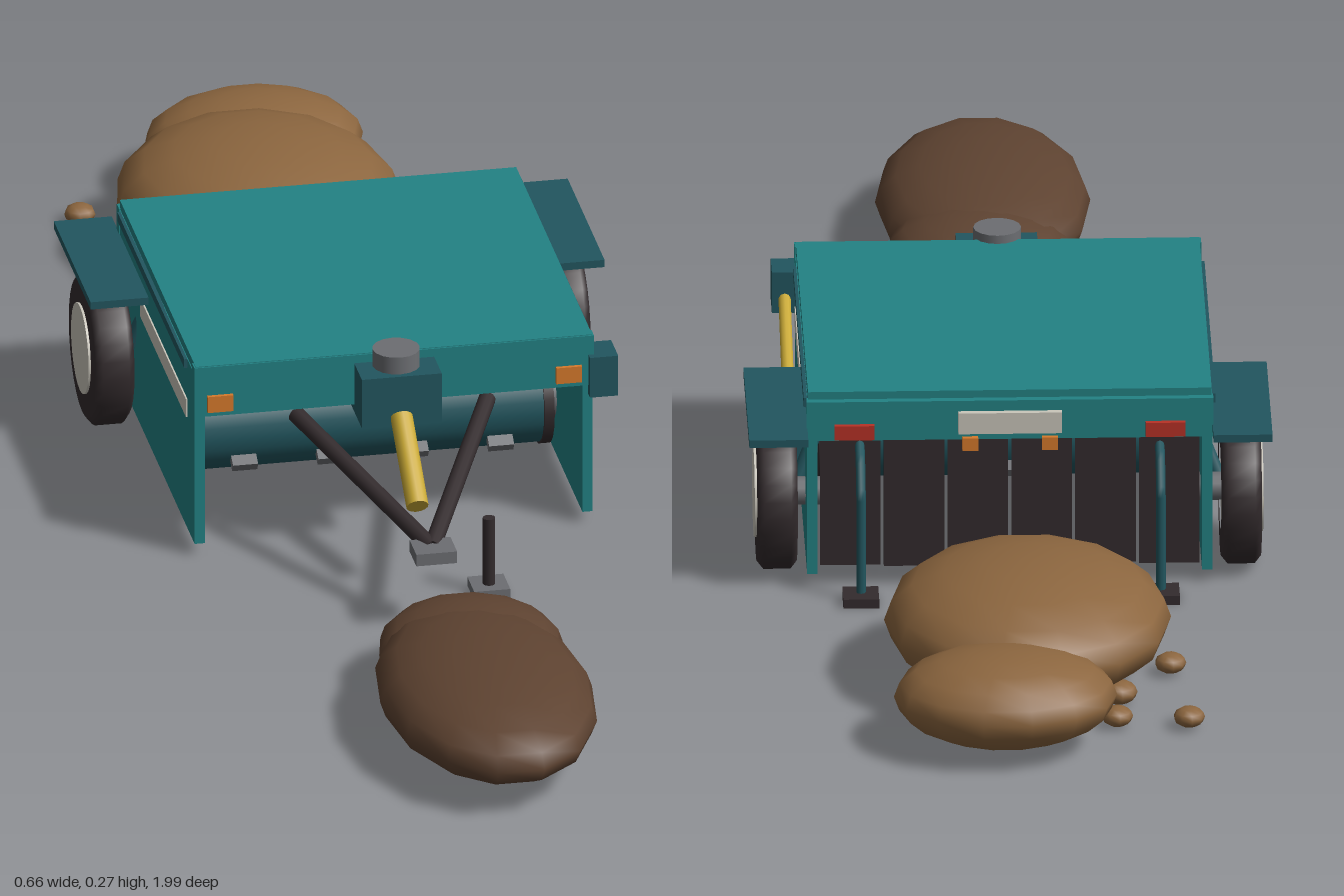
import * as THREE from 'three';

const mat = (name, color) => {
  const m = new THREE.MeshStandardMaterial({ color });
  m.name = name;
  return m;
};

export function createModel() {
  const teal = mat('teal paint', 0x238284);
  const darkTeal = mat('dark teal paint', 0x22565f);
  const black = mat('black rubber', 0x332b2d);
  const grey = mat('grey steel', 0x6c6e72);
  const pale = mat('pale grey', 0xcac6bb);
  const yellow = mat('yellow hydraulics', 0xc9a935);
  const orange = mat('orange lamp', 0xd67a2c);
  const red = mat('red lamp', 0xb83226);
  const darkSoil = mat('dark soil', 0x5e4331);
  const lightSoil = mat('light soil', 0x8c663f);

  const root = new THREE.Group();
  root.name = 'soilTurner';

  const add = (name, geo, material, x = 0, y = 0, z = 0) => {
    const mesh = new THREE.Mesh(geo, material);
    mesh.name = name;
    mesh.position.set(x, y, z);
    root.add(mesh);
    return mesh;
  };
  // Box given by its lower and upper corners
  const box = (name, m, x0, x1, y0, y1, z0, z1) =>
    add(name, new THREE.BoxGeometry(x1 - x0, y1 - y0, z1 - z0), m,
      (x0 + x1) / 2, (y0 + y1) / 2, (z0 + z1) / 2);
  // Box mirrored to both sides when s is -1
  const sideBox = (name, m, s, x0, x1, ...rest) =>
    s > 0 ? box(name, m, x0, x1, ...rest) : box(name, m, -x1, -x0, ...rest);
  // Round bar between two points
  const bar = (name, m, a, b, r, sides = 12) => {
    const p = new THREE.Vector3(...a), q = new THREE.Vector3(...b);
    const d = q.clone().sub(p);
    const mesh = add(name, new THREE.CylinderGeometry(r, r, d.length(), sides), m);
    mesh.position.copy(p).add(q).multiplyScalar(0.5);
    mesh.quaternion.setFromUnitVectors(new THREE.Vector3(0, 1, 0), d.normalize());
    return mesh;
  };
  const blob = (name, m, x, y, z, rx, ry, rz, w = 14, h = 10) =>
    add(name, new THREE.SphereGeometry(1, w, h), m, x, y, z).scale.set(rx, ry, rz);

  // Hood
  box('roof', teal, -0.253, 0.253, 0.246, 0.262, -0.35, 0.15);
  box('frontHeader', teal, -0.255, 0.255, 0.193, 0.261, 0.135, 0.152);
  box('rearHeader', teal, -0.255, 0.255, 0.2, 0.252, -0.36, -0.345);
  for (const s of [1, -1]) {
    sideBox('sidePanel', teal, s, 0.241, 0.254, 0.016, 0.25, -0.35, 0.148);
    sideBox('sideStripe', pale, s, 0.253, 0.256, 0.17, 0.195, -0.2, 0.1);
    sideBox('roofTrim', darkTeal, s, 0.25, 0.258, 0.238, 0.25, -0.34, 0.1);
    sideBox('frontLamp', orange, s, 0.206, 0.239, 0.2, 0.222, 0.15, 0.157);
    sideBox('tailLamp', red, s, 0.17, 0.22, 0.203, 0.222, -0.367, -0.358);
    sideBox('rearMarker', orange, s, 0.04, 0.06, 0.187, 0.204, -0.367, -0.358);
  }
  box('rearPlate', pale, -0.065, 0.065, 0.21, 0.238, -0.368, -0.36);

  // Rubber curtain of separate flaps
  const flaps = 6, flapWidth = 0.48 / flaps;
  for (let i = 0; i < flaps; i++) {
    const x = -0.24 + i * flapWidth;
    box('rearFlap', black, x + 0.002, x + flapWidth - 0.002, 0.027, 0.205,
      -0.353 + (i % 2) * 0.005, -0.346 + (i % 2) * 0.005);
  }

  // Turning drum with end discs and helical paddles
  const drumY = 0.09, drumZ = -0.05;
  bar('drum', darkTeal, [-0.22, drumY, drumZ], [0.22, drumY, drumZ], 0.06, 24);
  for (const s of [1, -1]) {
    bar('drumDisc', black, [s * 0.219, drumY, drumZ], [s * 0.232, drumY, drumZ], 0.063, 20);
    bar('drumBearing', grey, [s * 0.23, drumY, drumZ], [s * 0.242, drumY, drumZ], 0.03, 16);
  }
  for (let i = 0; i < 12; i++) {
    const a = i * 2.1, x = -0.2 + i * 0.4 / 11;
    const p = add('paddle', new THREE.BoxGeometry(0.032, 0.022, 0.012), grey,
      x, drumY + Math.cos(a) * 0.064, drumZ + Math.sin(a) * 0.064);
    p.rotation.x = a;
  }

  // Wheels, fenders and fender struts
  const tyreProfile = [[0.055, -0.025], [0.088, -0.025], [0.098, -0.017],
    [0.098, 0.017], [0.088, 0.025], [0.055, 0.025]].map(p => new THREE.Vector2(...p));
  for (const s of [1, -1]) {
    const tyre = add('tyre', new THREE.LatheGeometry(tyreProfile, 28), black, s * 0.291, 0.098, -0.273);
    tyre.rotation.z = Math.PI / 2;
    bar('wheelHub', pale, [s * 0.268, 0.098, -0.273], [s * 0.319, 0.098, -0.273], 0.058, 24);
    bar('axleStub', grey, [s * 0.22, 0.098, -0.273], [s * 0.27, 0.098, -0.273], 0.018);
    sideBox('fender', darkTeal, s, 0.254, 0.328, 0.207, 0.217, -0.398, -0.155);
    bar('wheelStrut', darkTeal, [s * 0.225, 0.2, -0.23], [s * 0.265, 0.1, -0.25], 0.009, 8);
  }

  // Drawbar, gearbox and tilt cylinder
  for (const s of [1, -1]) bar('drawbar', black, [s * 0.122, 0.178, 0.135], [0, 0.105, 0.4], 0.011, 10);
  box('coupler', grey, -0.026, 0.026, 0.096, 0.112, 0.388, 0.432);
  box('gearbox', darkTeal, -0.051, 0.051, 0.183, 0.25, 0.13, 0.202);
  bar('gearboxCap', grey, [0, 0.25, 0.165], [0, 0.273, 0.165], 0.03, 16);
  bar('tiltCylinder', yellow, [0, 0.194, 0.2], [0, 0.118, 0.305], 0.014, 14);

  // Parking jack
  bar('jackPost', black, [0.087, 0.01, 0.327], [0.087, 0.105, 0.327], 0.008);
  box('jackFoot', grey, 0.064, 0.11, 0.002, 0.014, 0.303, 0.349);

  // Side hydraulics
  box('valveBox', darkTeal, 0.248, 0.284, 0.18, 0.235, 0.115, 0.162);
  box('actuatorBox', darkTeal, 0.254, 0.275, 0.042, 0.143, -0.148, -0.048);
  bar('sideCylinder', yellow, [0.268, 0.2, 0.12], [0.268, 0.12, -0.06], 0.008, 10);

  // Rear support legs
  for (const s of [1, -1]) {
    const path = new THREE.CurvePath();
    const pts = [[0.19, -0.345], [0.175, -0.375], [0.14, -0.4], [0.008, -0.402]]
      .map(([y, z]) => new THREE.Vector3(s * 0.188, y, z));
    for (let i = 0; i < 3; i++) path.add(new THREE.LineCurve3(pts[i], pts[i + 1]));
    add('rearLeg', new THREE.TubeGeometry(path, 18, 0.006, 8), darkTeal);
    sideBox('rearFoot', black, s, 0.166, 0.211, 0, 0.012, -0.427, -0.383);
  }

  // Soil heaps in front and behind
  blob('frontHeap', darkSoil, 0, 0.067, 0.757, 0.135, 0.061, 0.238);
  blob('frontHeapSmall', darkSoil, 0.01, 0.06, 0.605, 0.117, 0.054, 0.12);
  blob('rearHeap', lightSoil, -0.012, 0.089, -0.683, 0.18, 0.08, 0.203);
  blob('rearHeapSmall', lightSoil, 0.022, 0.069, -0.89, 0.14, 0.06, 0.11);
  const clods = [[-0.21, -0.835, 0.02], [-0.192, -0.655, 0.02], [-0.15, -0.62, 0.014],
    [-0.125, -0.75, 0.023], [-0.12, -0.83, 0.02], [0.1, -0.8, 0.022]];
  for (const [x, z, r] of clods) blob('clod', lightSoil, x, 0.015, z, r, r * 0.65, r, 9, 6);

  return root;
}
